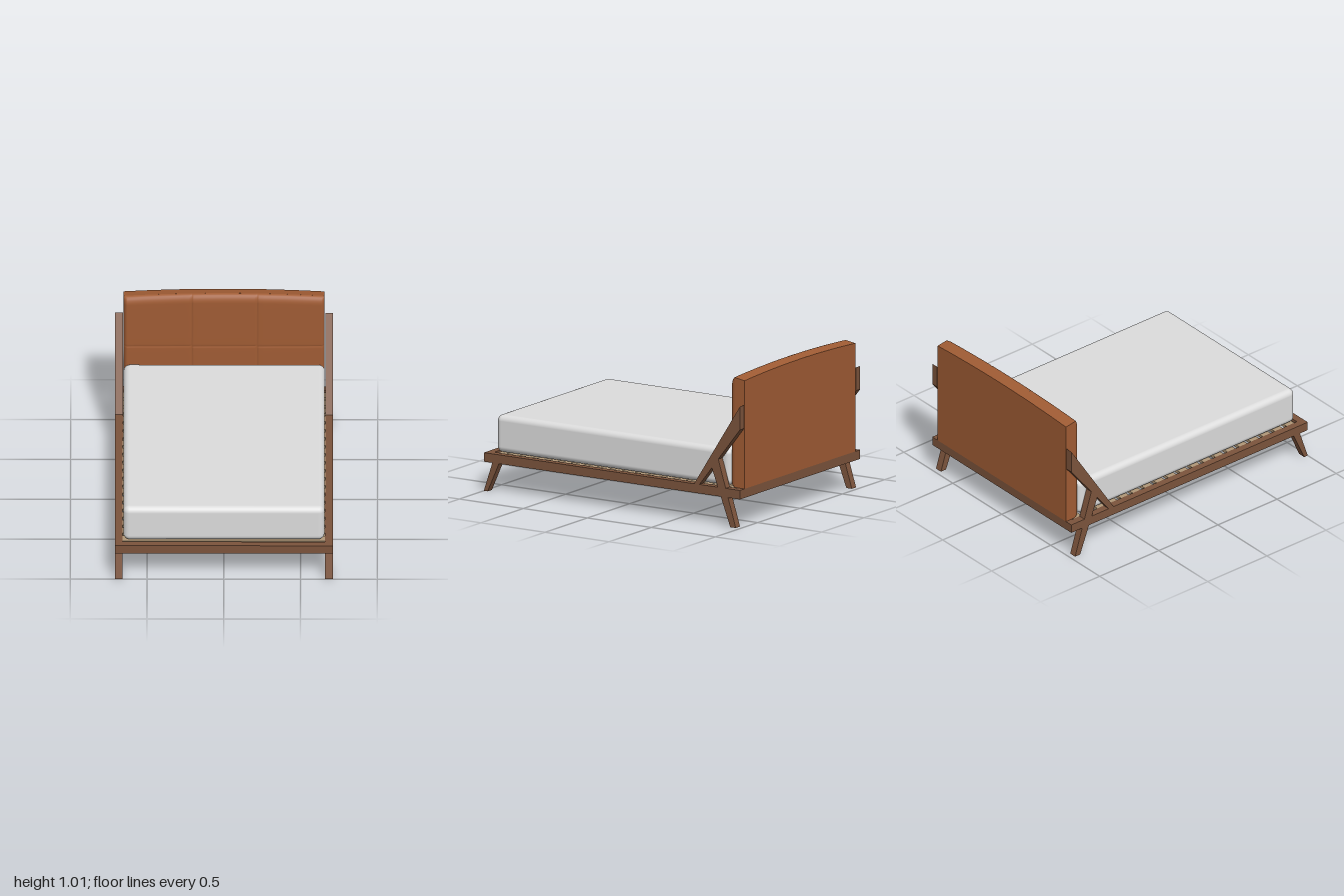
import * as THREE from 'three';
import { RoundedBoxGeometry } from 'three/addons/geometries/RoundedBoxGeometry.js';

const wood = new THREE.MeshStandardMaterial({ name: 'walnut wood', color: 0x7c543c });
const leather = new THREE.MeshStandardMaterial({ name: 'tan leather', color: 0xa05c34 });
const fabric = new THREE.MeshStandardMaterial({ name: 'mattress fabric', color: 0xdcdcdc });
const slatWood = new THREE.MeshStandardMaterial({ name: 'slat wood', color: 0xb09878 });

function add(parent, name, geometry, material, x = 0, y = 0, z = 0) {
  const mesh = new THREE.Mesh(geometry, material);
  mesh.name = name;
  mesh.position.set(x, y, z);
  parent.add(mesh);
  return mesh;
}

// Box given by its limits on each axis
function addBox(parent, name, material, [x0, x1], [y0, y1], [z0, z1]) {
  return add(parent, name, new THREE.BoxGeometry(x1 - x0, y1 - y0, z1 - z0), material,
    (x0 + x1) / 2, (y0 + y1) / 2, (z0 + z1) / 2);
}

// Board with a side outline of [z, y] points, extruded across x from x0 to x1
function addBoard(parent, name, points, x0, x1) {
  const shape = new THREE.Shape(points.map(([z, y]) => new THREE.Vector2(-z, y)));
  const geometry = new THREE.ExtrudeGeometry(shape, { depth: x1 - x0, bevelEnabled: false });
  geometry.rotateY(Math.PI / 2);
  return add(parent, name, geometry, wood, x0);
}

// Headboard dimensions
const HALF = 0.655, LOW = 0.255, HIGH = 0.99, SEAM_Y = 0.625, SEAM_X = 0.213;
const ROLL_Z = -0.925, PUFF = 0.035, BACK = -1;
const lift = (x) => 0.02 * (1 - (x / HALF) ** 2);

// Grid stations: rounded at both ends, with a narrow groove at each seam
function stations(lo, hi, radiusLo, radiusHi, seams, groove) {
  const list = [], steps = 6;
  for (let i = 0; i <= steps; i++) {
    const a = (i / steps) * Math.PI / 2;
    list.push({ p: lo + radiusLo * (1 - Math.cos(a)), f: Math.sin(a), g: 0 });
    list.push({ p: hi - radiusHi * (1 - Math.cos(a)), f: Math.sin(a), g: 0 });
  }
  for (const s of seams) {
    for (const o of [-0.016, -0.005, 0, 0.005, 0.016]) {
      list.push({ p: s + o, f: 1, g: o === 0 ? groove : Math.abs(o) < 0.01 ? groove * 0.25 : 0 });
    }
  }
  for (let i = 1; i < 10; i++) {
    const p = lo + (hi - lo) * i / 10;
    if (list.every((s) => Math.abs(s.p - p) > 0.02)) list.push({ p, f: 1, g: 0 });
  }
  return list.sort((a, b) => a.p - b.p);
}

function cushionGeometry() {
  const xs = stations(-HALF, HALF, 0.025, 0.025, [-SEAM_X, SEAM_X], 0.008);
  const ys = stations(LOW, HIGH, 0.02, 0.055, [SEAM_Y], 0.004);
  const geometry = new THREE.PlaneGeometry(1, 1, xs.length - 1, ys.length - 1);
  const pos = geometry.attributes.position;
  for (let i = 0; i < pos.count; i++) {
    const sx = xs[i % xs.length];
    const sy = ys[ys.length - 1 - Math.floor(i / xs.length)];
    const rise = Math.max(0, (sy.p - SEAM_Y) / (HIGH - SEAM_Y)) * lift(sx.p);
    const puff = PUFF * sx.f * sy.f - Math.max(sx.g, sy.g) * Math.min(sx.f, sy.f);
    pos.setXYZ(i, sx.p, sy.p + rise, ROLL_Z + puff);
  }
  geometry.computeVertexNormals();
  return geometry;
}

function headboardCoreGeometry() {
  const shape = new THREE.Shape();
  shape.moveTo(-HALF, LOW);
  shape.lineTo(HALF, LOW);
  for (let i = 0; i <= 24; i++) {
    const x = HALF - (2 * HALF * i) / 24;
    shape.lineTo(x, HIGH + lift(x));
  }
  const geometry = new THREE.ExtrudeGeometry(shape, { depth: ROLL_Z - BACK, bevelEnabled: false });
  geometry.translate(0, 0, BACK);
  // The top edge falls slightly towards the back
  const pos = geometry.attributes.position;
  for (let i = 0; i < pos.count; i++) {
    if (pos.getZ(i) < BACK + 0.01 && pos.getY(i) > 0.9) pos.setY(i, pos.getY(i) - 0.012);
  }
  geometry.computeVertexNormals();
  return geometry;
}

export function createModel() {
  const bed = new THREE.Group();
  bed.name = 'bed';

  // Frame rails
  const frame = new THREE.Group();
  frame.name = 'frame';
  bed.add(frame);
  const railY = [0.195, 0.255];
  addBox(frame, 'frontRail', wood, [-0.66, 0.66], railY, [0.95, 1]);
  addBox(frame, 'backRail', wood, [-0.66, 0.66], railY, [-1, -0.95]);

  // Side rails, legs and headboard braces, mirrored
  for (const [side, x0, x1] of [['left', 0.66, 0.71], ['right', -0.71, -0.66]]) {
    addBox(frame, side + 'Rail', wood, [x0, x1], railY, [-1, 1]);
    addBoard(bed, side + 'FrontLeg', [[1, 0], [0.97, 0], [0.88, 0.2], [0.932, 0.2]], x0, x1);
    addBoard(bed, side + 'BackLeg', [[-0.925, 0], [-0.968, 0], [-0.83, 0.445], [-0.78, 0.38]], x0, x1);
    addBoard(bed, side + 'Brace', [[-0.642, 0.255], [-0.684, 0.255], [-1, 0.66], [-1, 0.815]], x0, x1);
  }

  // Slats under the mattress
  const slats = new THREE.Group();
  slats.name = 'slats';
  bed.add(slats);
  for (let i = 0; i < 19; i++) {
    const z = -0.9 + i * 0.1;
    addBox(slats, 'slat', slatWood, [-0.66, 0.66], [0.23, 0.25], [z - 0.033, z + 0.033]);
  }

  // Mattress
  add(bed, 'mattress', new RoundedBoxGeometry(1.31, 0.25, 1.83, 5, 0.04), fabric, 0, 0.38, 0.029);

  // Upholstered headboard
  const headboard = new THREE.Group();
  headboard.name = 'headboard';
  bed.add(headboard);
  add(headboard, 'headboardCore', headboardCoreGeometry(), leather);
  add(headboard, 'headboardCushion', cushionGeometry(), leather);

  return bed;
}
